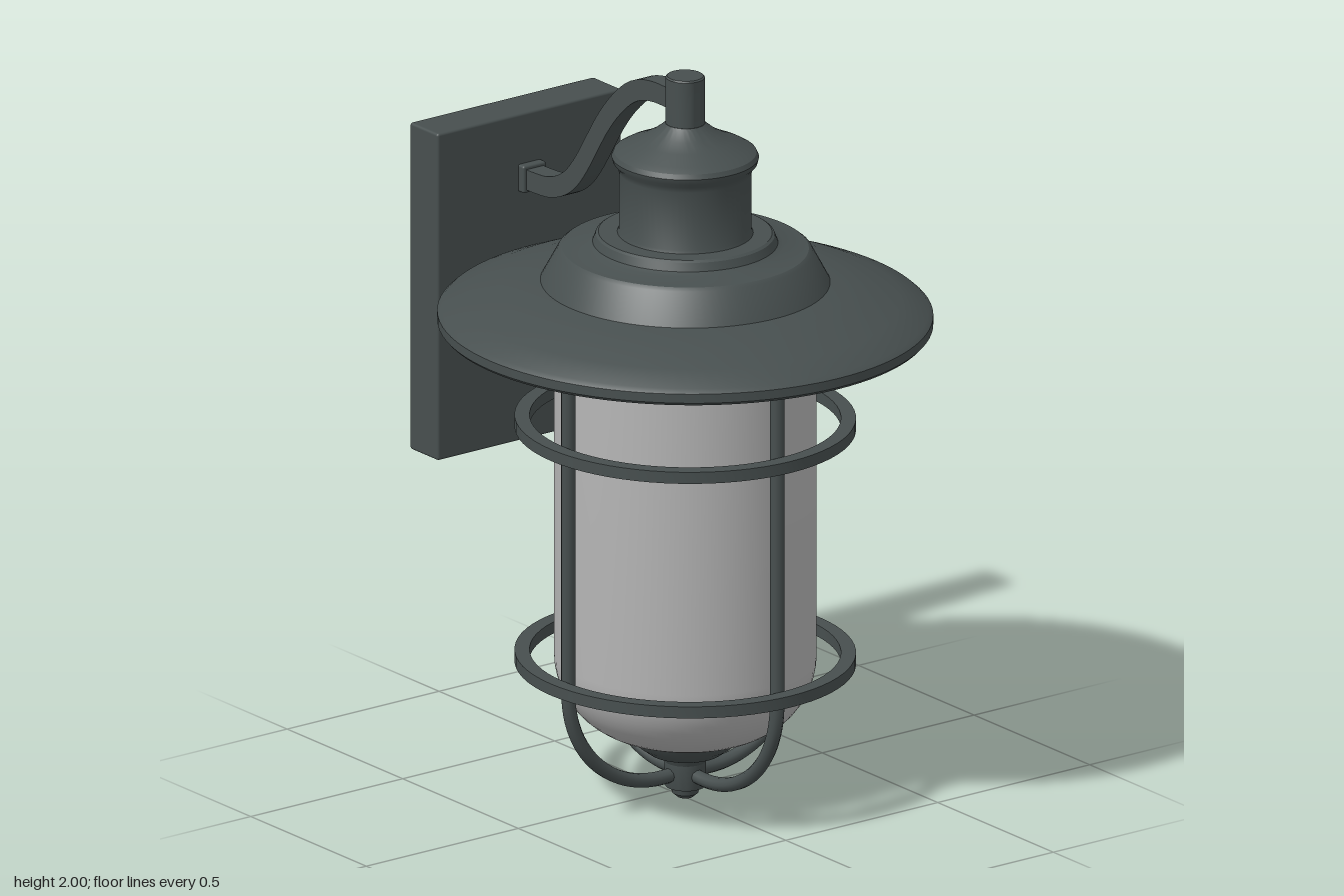
import * as THREE from 'three';
import { toCreasedNormals } from 'three/addons/utils/BufferGeometryUtils.js';
import { RoundedBoxGeometry } from 'three/addons/geometries/RoundedBoxGeometry.js';

const metal = new THREE.MeshStandardMaterial({ color: 0x474f4f });
metal.name = 'dark metal';
const frosted = new THREE.MeshStandardMaterial({ color: 0xb6b6b6 });
frosted.name = 'frosted glass';

const AXIS_Z = 0.065; // lantern axis, forward of the wall plate
const DEPTH = 1.033; // the lantern is slightly deeper than wide

function add(parent, name, geometry, material = metal, x = 0, y = 0, z = 0) {
  const mesh = new THREE.Mesh(geometry, material);
  mesh.name = name;
  mesh.position.set(x, y, z);
  parent.add(mesh);
  return mesh;
}

// Turned part from [radius, height] pairs, listed from the bottom upwards
function turned(points, segments = 64) {
  const profile = points.map(([r, y]) => new THREE.Vector2(r, y));
  return toCreasedNormals(new THREE.LatheGeometry(profile, segments), 0.5);
}

// Elliptic quarter arc between two heights, as profile points
function arc(r0, y0, dr, dy, from, to, steps) {
  return Array.from({ length: steps + 1 }, (_, i) => {
    const a = from + (to - from) * i / steps;
    return [r0 + dr * Math.cos(a), y0 + dy * Math.sin(a)];
  });
}

function makeLantern() {
  const lantern = new THREE.Group();
  lantern.name = 'lantern';
  lantern.position.z = AXIS_Z;
  lantern.scale.z = DEPTH;

  // Wide shade with a stepped crown
  add(lantern, 'shade', turned([
    [0, 1.325], [0.36, 1.325], [0.615, 1.31], [0.635, 1.31], [0.642, 1.318], [0.642, 1.343],
    [0.63, 1.354], [0.56, 1.383], [0.48, 1.41], [0.42, 1.425], [0.375, 1.432],
    [0.33, 1.517], [0.32, 1.525], [0.255, 1.533], [0.24, 1.54], [0.232, 1.562], [0.225, 1.567], [0, 1.567],
  ], 96));

  // Neck with flared lip and domed cap
  add(lantern, 'neck', turned([
    [0, 1.55], [0.185, 1.55], [0.172, 1.575], [0.172, 1.735], [0.176, 1.75], [0.187, 1.762], [0.191, 1.777],
    [0.185, 1.79], [0.165, 1.802], [0.12, 1.822], [0.085, 1.842], [0.06, 1.862], [0.052, 1.87], [0, 1.87],
  ]));
  add(lantern, 'stem', turned([
    [0, 1.86], [0.051, 1.86], [0.051, 1.996], [0.047, 2], [0, 2],
  ], 32));

  // Collar gripping the glass
  add(lantern, 'glassCollar', turned([
    [0, 1.272], [0.34, 1.272], [0.346, 1.278], [0.346, 1.30], [0.36, 1.305], [0.36, 1.33], [0, 1.33],
  ]));

  // Glass cylinder with rounded bottom
  add(lantern, 'glass', turned([
    [0, 0.172],
    ...arc(0.11, 0.4, 0.23, 0.225, -Math.PI / 2, 0, 14),
    [0.34, 1.28], [0, 1.28],
  ]), frosted);

  // Bottom cup and finial
  add(lantern, 'bottomCup', turned([
    [0, 0.09], [0.05, 0.095], [0.06, 0.115], [0.095, 0.128], [0.125, 0.15], [0.14, 0.175], [0.14, 0.183], [0, 0.183],
  ], 48));
  add(lantern, 'finial', turned([
    [0, 0], [0.02, 0.003], [0.034, 0.015], [0.038, 0.032], [0.052, 0.034], [0.054, 0.04], [0.054, 0.112], [0, 0.118],
  ], 32));

  // Two flat cage hoops
  for (const y of [0.39, 1.04]) {
    add(lantern, 'cageHoop', turned([
      [0.403, -0.016], [0.442, -0.016], [0.442, 0.016], [0.403, 0.016], [0.403, -0.016],
    ], 72), metal, 0, y, 0);
  }

  // Four cage rods curling in under the glass
  const path = new THREE.CurvePath();
  const v = (x, y) => new THREE.Vector3(x, y, 0);
  path.add(new THREE.LineCurve3(v(0.385, 1.33), v(0.385, 0.37)));
  path.add(new THREE.CubicBezierCurve3(v(0.385, 0.37), v(0.385, 0.2), v(0.25, 0.07), v(0.08, 0.07)));
  path.add(new THREE.LineCurve3(v(0.08, 0.07), v(0.03, 0.072)));
  const rodGeometry = new THREE.TubeGeometry(path, 70, 0.019, 10, false);
  const footGeometry = new THREE.CylinderGeometry(0.03, 0.024, 0.03, 16);
  for (let i = 0; i < 4; i++) {
    const rod = new THREE.Group();
    rod.name = 'cageRod';
    rod.rotation.y = i * Math.PI / 2;
    add(rod, 'rod', rodGeometry);
    add(rod, 'rodFoot', footGeometry, metal, 0.385, 1.308, 0);
    lantern.add(rod);
  }
  return lantern;
}

// Square-section S-shaped arm, drawn in side profile (z, y) and given a width
function makeArmGeometry() {
  const curve = new THREE.SplineCurve([
    [0.06, 1.93], [-0.04, 1.932], [-0.12, 1.912], [-0.19, 1.86], [-0.26, 1.78],
    [-0.35, 1.645], [-0.41, 1.58], [-0.48, 1.546], [-0.55, 1.538], [-0.62, 1.538],
  ].map(([z, y]) => new THREE.Vector2(z, y)));
  const upper = [], lower = [], steps = 40, half = 0.028;
  for (let i = 0; i <= steps; i++) {
    const p = curve.getPoint(i / steps), t = curve.getTangent(i / steps);
    upper.push(new THREE.Vector2(p.x + t.y * half, p.y - t.x * half));
    lower.unshift(new THREE.Vector2(p.x - t.y * half, p.y + t.x * half));
  }
  const width = 0.056;
  const geometry = new THREE.ExtrudeGeometry(new THREE.Shape([...upper, ...lower]), { depth: width, bevelEnabled: false });
  geometry.translate(0, 0, -width / 2).rotateY(-Math.PI / 2);
  return toCreasedNormals(geometry, 0.5);
}

export function createModel() {
  const model = new THREE.Group();
  model.name = 'wallLantern';
  model.add(makeLantern());

  add(model, 'arm', makeArmGeometry());
  add(model, 'armFlange', new RoundedBoxGeometry(0.075, 0.075, 0.03, 2, 0.006), metal, 0, 1.538, -0.6);
  add(model, 'wallPlate', new RoundedBoxGeometry(0.605, 0.905, 0.122, 2, 0.007), metal, 0, 1.262, -0.669);

  // Pair of fixing knobs on the plate
  for (const side of [-1, 1]) {
    const knob = add(model, 'fixingKnob', new THREE.CylinderGeometry(0.027, 0.027, 0.08, 20), metal, side * 0.195, 1.215, -0.587);
    knob.rotation.x = Math.PI / 2;
  }
  return model;
}
